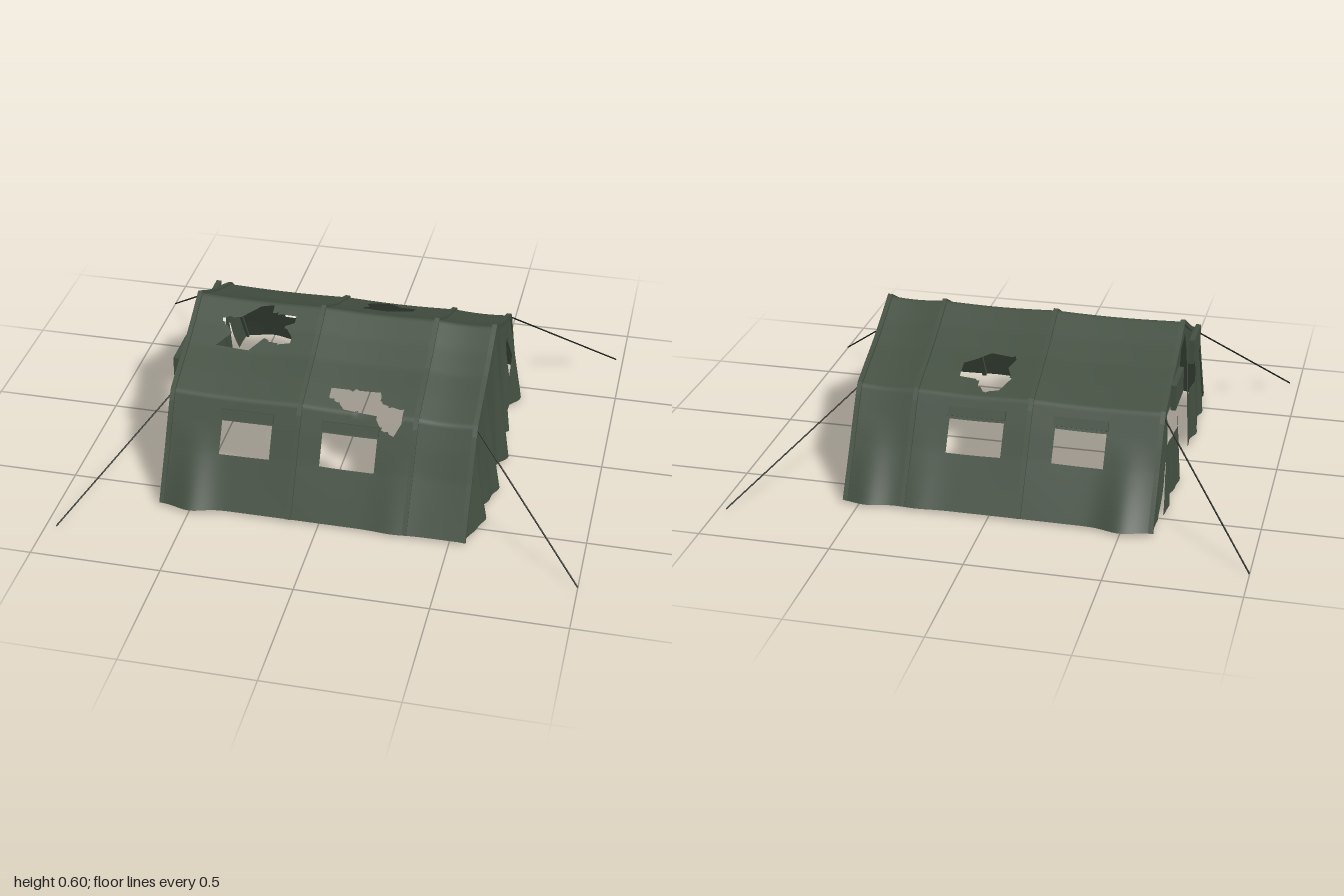
import * as THREE from 'three';

const canvas = new THREE.MeshStandardMaterial({ color: 0x434f41, side: THREE.DoubleSide });
const cord = new THREE.MeshStandardMaterial({ color: 0x1c201c });
const X0 = -0.62, X1 = 0.56, BACK = 1.05; // the back slope is slightly wider than the front

// Half profile from ridge to ground: [z, y], plus running length
const PROFILE = [[0, 0.588], [0.1, 0.53], [0.2, 0.478], [0.3, 0.435], [0.4, 0.39], [0.45, 0.3], [0.5, 0.205], [0.61, 0.01]];
const LEN = [0];
for (let i = 1; i < PROFILE.length; i++) {
  LEN.push(LEN[i - 1] + Math.hypot(PROFILE[i][0] - PROFILE[i - 1][0], PROFILE[i][1] - PROFILE[i - 1][1]));
}
const TOTAL = LEN[LEN.length - 1];

function lookup(keys, values, k) {
  let i = 1;
  while (i < keys.length - 1 && keys[i] < k) i++;
  return values[i - 1] + (values[i] - values[i - 1]) * (k - keys[i - 1]) / (keys[i] - keys[i - 1]);
}
const ZS = PROFILE.map(p => p[0]), YS = PROFILE.map(p => p[1]);
const foldZ = z => (z < 0 ? -z / BACK : z);
const lengthAt = z => Math.sign(z) * lookup(ZS, LEN, foldZ(z));
const heightAt = z => lookup(ZS, YS, foldZ(z));
function profileAt(s) {
  const a = Math.abs(s);
  return [lookup(LEN, ZS, a) * (s < 0 ? -BACK : 1), lookup(LEN, YS, a)];
}

function inside(p, poly) {
  let hit = false;
  for (let i = 0, j = poly.length - 1; i < poly.length; j = i++) {
    const [ax, ay] = poly[i], [bx, by] = poly[j];
    if ((ay > p[1]) !== (by > p[1]) && p[0] < (bx - ax) * (p[1] - ay) / (by - ay) + ax) hit = !hit;
  }
  return hit;
}

// Cloth sheet: a 2D grid fitted to the outlines of its holes, then mapped into space
function cloth(name, nu, nv, at, holes, map) {
  const pts = [], cell = 0.0065;
  for (let j = 0; j <= nv; j++) for (let i = 0; i <= nu; i++) pts.push(at(i / nu, j / nv));
  const fixed = new Set();
  for (const poly of holes) {
    for (const c of poly) {
      let best = 0, d = 1e9;
      pts.forEach((p, k) => {
        const e = Math.hypot(p[0] - c[0], p[1] - c[1]);
        if (e < d && !fixed.has(k)) { d = e; best = k; }
      });
      if (d < 0.012) { pts[best] = [...c]; fixed.add(best); }
    }
  }
  for (const poly of holes) {
    pts.forEach((p, k) => {
      if (fixed.has(k)) return;
      for (let i = 0; i < poly.length; i++) {
        const a = poly[i], b = poly[(i + 1) % poly.length];
        const dx = b[0] - a[0], dy = b[1] - a[1];
        const t = Math.min(1, Math.max(0, ((p[0] - a[0]) * dx + (p[1] - a[1]) * dy) / (dx * dx + dy * dy)));
        const q = [a[0] + dx * t, a[1] + dy * t];
        if (Math.hypot(p[0] - q[0], p[1] - q[1]) < cell) { pts[k] = q; fixed.add(k); return; }
      }
    });
  }
  const index = [];
  const tri = (a, b, c) => {
    const m = [0, 1].map(k => (pts[a][k] + pts[b][k] + pts[c][k]) / 3);
    if (!holes.some(h => inside(m, h))) index.push(a, b, c);
  };
  for (let j = 0; j < nv; j++) for (let i = 0; i < nu; i++) {
    const a = j * (nu + 1) + i, b = a + 1, c = a + nu + 1, d = c + 1;
    tri(a, c, b);
    tri(b, c, d);
  }
  const geo = new THREE.BufferGeometry();
  geo.setAttribute('position', new THREE.Float32BufferAttribute(pts.flatMap(p => map(p[0], p[1])), 3));
  geo.setIndex(index);
  geo.computeVertexNormals();
  const mesh = new THREE.Mesh(geo, canvas);
  mesh.name = name;
  return mesh;
}

const rect = (a, b, c, d) => [[a, c], [b, c], [b, d], [a, d]];
const RIBS = [-0.612, -0.115, 0.33, 0.553];
const WINDOWS = [[-0.41, -0.215], [-0.02, 0.19]];

function roof() {
  const holes = [
    // front tear near the ridge
    [[-0.5, 0.08], [-0.43, 0.07], [-0.36, 0.02], [-0.31, 0.01], [-0.31, 0.04], [-0.215, 0.045], [-0.215, 0.07], [-0.25, 0.085],
      [-0.215, 0.125], [-0.215, 0.15], [-0.265, 0.16], [-0.32, 0.14], [-0.37, 0.195], [-0.5, 0.19], [-0.45, 0.135]],
    // front tear over the eave
    [[-0.015, 0.31], [0.175, 0.305], [0.19, 0.35], [0.275, 0.37], [0.275, 0.41], [0.25, 0.435], [0.2, 0.425], [0.17, 0.4],
      [0.05, 0.39], [0.03, 0.37], [-0.015, 0.35]],
    // back tear
    [[-0.015, -0.32], [0.02, -0.38], [0.08, -0.39], [0.12, -0.335], [0.185, -0.33], [0.185, -0.265], [0.14, -0.24],
      [0.09, -0.205], [-0.015, -0.22], [0.01, -0.27]],
  ];
  for (const [a, b] of WINDOWS) holes.push(rect(a, b, 0.442, 0.503), rect(a, b, -0.465, -0.528));
  const bump = (x, c) => Math.exp(-(((x - c) / 0.07) ** 2));
  return cloth('roofAndSideWalls', 96, 130, (u, v) => [X0 + (X1 - X0) * u, (2 * v - 1) * TOTAL],
    holes.map(h => h.map(([x, z]) => [x, lengthAt(z)])),
    (x, s) => {
      const [z, y] = profileAt(s);
      // slight sag between the ribs, loose hem at the ground
      const bay = RIBS.findIndex(r => r > x);
      const t = bay > 0 ? (x - RIBS[bay - 1]) / (RIBS[bay] - RIBS[bay - 1]) : 0;
      const low = Math.max(0, 1 - y / 0.3);
      const hem = 0.028 * low * (bump(x, -0.5) + (s < 0 ? 0.8 * bump(x, 0.47) : 0) + 0.3 * bump(x, 0.28));
      return [x, y - 0.006 * Math.sin(Math.PI * t) * Math.min(1, y / 0.2), z + Math.sign(s) * hem];
    });
}

function endWall(name, x0, bulge, holes) {
  const z0 = -0.61 * BACK, z1 = 0.61;
  return cloth(name, 100, 48, (u, v) => {
    const z = z0 + (z1 - z0) * u;
    return [z, 0.01 + v * (heightAt(z) - 0.01)];
  }, holes, (z, y) => {
    const gap = Math.max(0, 1 - y / Math.max(0.02, heightAt(z)));
    const edge = Math.min(1, Math.max(0, (0.62 - Math.abs(z)) / 0.2));
    const fold = 0.65 + 0.25 * Math.sin(z * 27 + 1) + 0.1 * Math.sin(z * 61);
    return [x0 + bulge * gap * edge * fold, y, z];
  });
}

// Frame arch following the profile
function rib(x) {
  const outer = [], inner = [], n = 40;
  for (let i = 0; i <= n; i++) {
    const s = (2 * i / n - 1) * TOTAL;
    const a = profileAt(Math.max(-TOTAL, s - 0.02)), b = profileAt(Math.min(TOTAL, s + 0.02)), p = profileAt(s);
    const l = Math.hypot(b[0] - a[0], b[1] - a[1]);
    const nz = -(b[1] - a[1]) / l, ny = (b[0] - a[0]) / l;
    outer.push(new THREE.Vector2(-(p[0] + nz * 0.009), Math.max(0.004, p[1] + ny * 0.009)));
    inner.unshift(new THREE.Vector2(-(p[0] - nz * 0.009), Math.max(0.004, p[1] - ny * 0.009)));
  }
  const geo = new THREE.ExtrudeGeometry(new THREE.Shape([...outer, ...inner]), { depth: 0.018, bevelEnabled: false });
  geo.rotateY(Math.PI / 2);
  const mesh = new THREE.Mesh(geo, canvas);
  mesh.position.x = x - 0.009;
  mesh.name = 'frameRib';
  return mesh;
}

function box(name, w, h, d, x, y, z, tilt = 0) {
  const mesh = new THREE.Mesh(new THREE.BoxGeometry(w, h, d), canvas);
  mesh.position.set(x, y, z);
  mesh.rotation.x = tilt;
  mesh.name = name;
  return mesh;
}

function guyRope(from, to) {
  const path = new THREE.LineCurve3(new THREE.Vector3(...from), new THREE.Vector3(...to));
  const mesh = new THREE.Mesh(new THREE.TubeGeometry(path, 1, 0.003, 6), cord);
  mesh.name = 'guyRope';
  return mesh;
}

export function createModel() {
  const tent = new THREE.Group();
  tent.name = 'tornTent';
  tent.add(roof());

  // End with one torn opening
  tent.add(endWall('closedEnd', 0.555, 0.08, [
    [[-0.157, -0.02], [-0.157, 0.11], [-0.215, 0.22], [-0.206, 0.25], [-0.23, 0.33], [-0.245, 0.365], [-0.32, 0.36],
      [-0.36, 0.28], [-0.375, 0.235], [-0.34, 0.125], [-0.33, -0.02]],
  ]));
  // Entrance end with doorway, two windows and a split seam
  tent.add(endWall('entranceEnd', -0.615, -0.035, [
    [[-0.145, -0.02], [-0.15, 0.22], [-0.12, 0.38], [-0.06, 0.5], [0.02, 0.53], [0.07, 0.42], [0.09, 0.3], [0.1, -0.02]],
    rect(-0.365, -0.17, 0.235, 0.365),
    rect(0.115, 0.3, 0.235, 0.365),
    [[-0.42, 0.22], [-0.5, -0.02], [-0.55, -0.02]],
  ]));

  RIBS.forEach(x => tent.add(rib(x)));

  // Rolled window flaps
  for (const [a, b] of WINDOWS) for (const side of [1, -1]) {
    const z = side > 0 ? 0.438 : -0.46;
    tent.add(box('windowFlap', b - a + 0.01, 0.036, 0.016, (a + b) / 2, 0.337, z, -side * 0.48));
  }
  tent.add(box('endWindowFlap', 0.02, 0.1, 0.18, -0.632, 0.412, -0.23));
  tent.add(box('endWindowFlap', 0.02, 0.1, 0.17, -0.632, 0.412, 0.205));

  // Guy ropes from the eave corners
  tent.add(guyRope([-0.61, 0.385, -0.42], [-1, 0.003, -0.84]));
  tent.add(guyRope([-0.61, 0.385, 0.4], [-0.96, 0.003, 0.83]));
  tent.add(guyRope([0.555, 0.385, -0.42], [0.97, 0.003, -0.8]));
  tent.add(guyRope([0.555, 0.385, 0.4], [1, 0.003, 0.77]));
  return tent;
}
